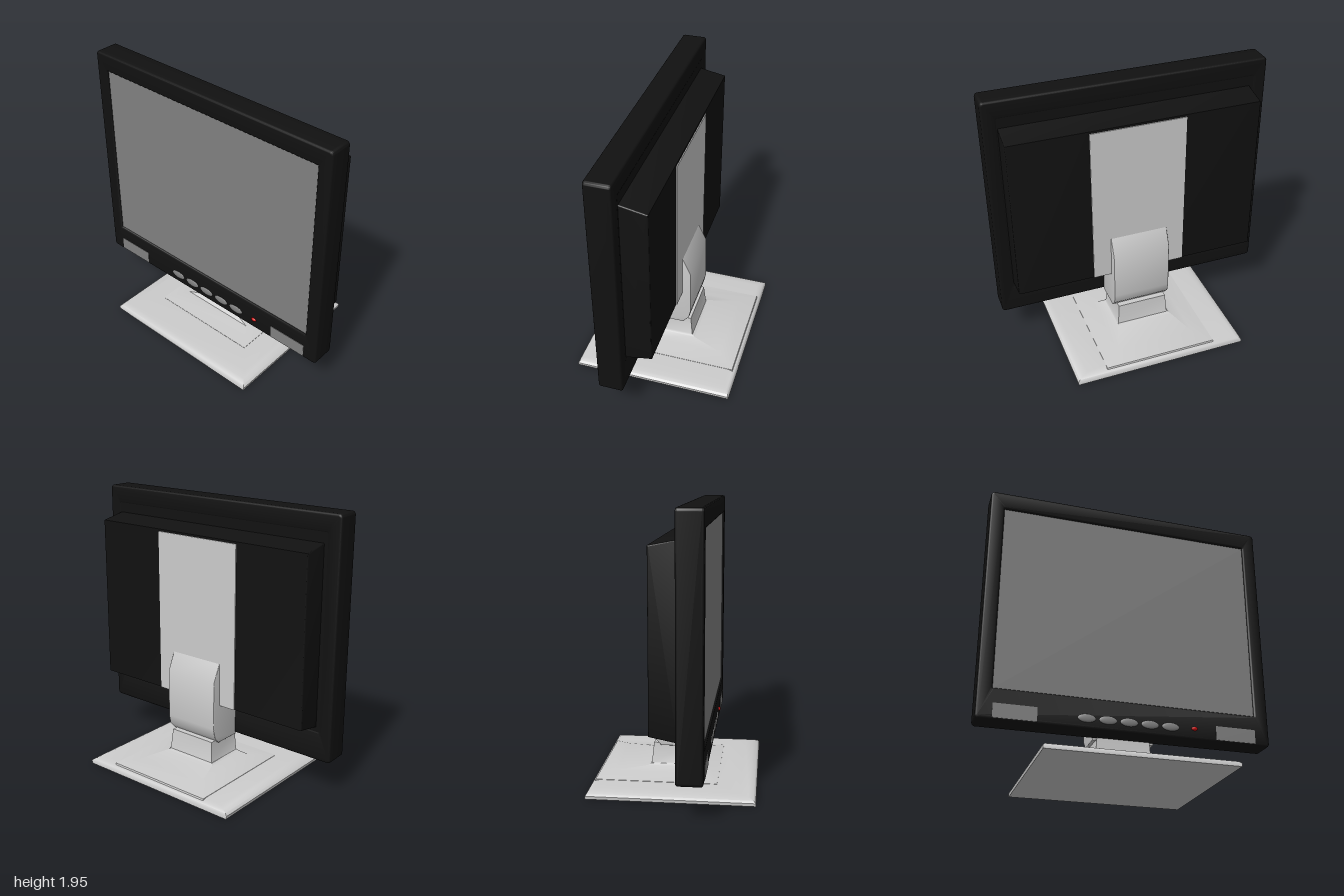
import * as THREE from 'three';
import { toCreasedNormals } from 'three/addons/utils/BufferGeometryUtils.js';

const mat = (color) => new THREE.MeshStandardMaterial({ color });
const black = mat(0x111111), silver = mat(0xcccccc), grey = mat(0x808080), red = mat(0xcc1111);

function add(group, name, geometry, material, x = 0, y = 0, z = 0) {
  const mesh = new THREE.Mesh(geometry, material);
  mesh.name = name;
  mesh.position.set(x, y, z);
  group.add(mesh);
  return mesh;
}

// Rectangle outline with rounded corners
function roundedRect(x0, y0, x1, y1, r) {
  const s = new THREE.Shape();
  s.absarc(x1 - r, y1 - r, r, 0, Math.PI / 2);
  s.absarc(x0 + r, y1 - r, r, Math.PI / 2, Math.PI);
  s.absarc(x0 + r, y0 + r, r, Math.PI, Math.PI * 1.5);
  s.absarc(x1 - r, y0 + r, r, Math.PI * 1.5, Math.PI * 2);
  return s;
}

// Extrude to a total depth, centred on its own z, keeping the outline as the outer size
function extrude(shape, depth, bevel) {
  const g = new THREE.ExtrudeGeometry(shape, {
    depth: depth - 2 * bevel, bevelThickness: bevel, bevelSize: bevel,
    bevelOffset: -bevel, bevelSegments: 3, curveSegments: 5,
  });
  g.translate(0, 0, bevel - depth / 2);
  return toCreasedNormals(g, 0.6);
}

// Side profile of (z, y) points swept across the width
function sideProfile(points, width, bevel) {
  const shape = new THREE.Shape(points.map(([z, y]) => new THREE.Vector2(z, y)));
  return extrude(shape, width, bevel).rotateY(-Math.PI / 2);
}

// Stack of rectangular rings [y, halfWidth, zBack, zFront], capped at both ends
function loft(rings, crease) {
  const pos = [], idx = [];
  for (const [y, w, zb, zf] of rings) pos.push(-w, y, zf, w, y, zf, w, y, zb, -w, y, zb);
  for (let i = 0; i < rings.length - 1; i++) {
    for (let j = 0; j < 4; j++) {
      const a = i * 4 + j, b = i * 4 + (j + 1) % 4;
      idx.push(a, b, b + 4, a, b + 4, a + 4);
    }
  }
  const t = (rings.length - 1) * 4;
  idx.push(0, 2, 1, 0, 3, 2, t, t + 1, t + 2, t, t + 2, t + 3);
  const g = new THREE.BufferGeometry();
  g.setAttribute('position', new THREE.Float32BufferAttribute(pos, 3));
  g.setIndex(idx);
  return toCreasedNormals(g, crease);
}

export function createModel() {
  const model = new THREE.Group();
  model.name = 'monitor';

  // Front frame with the screen set into it
  const frame = roundedRect(-1, 0.26, 1, 1.95, 0.025);
  frame.holes.push(roundedRect(-0.9, 0.475, 0.9, 1.82, 0.003));
  add(model, 'bezel', extrude(frame, 0.173, 0.015), black, 0, 0, 0.1665);
  add(model, 'bezelBacking', new THREE.BoxGeometry(1.82, 1.37, 0.14), black, 0, 1.1475, 0.152);
  add(model, 'screen', new THREE.BoxGeometry(1.805, 1.35, 0.02), grey, 0, 1.1475, 0.23);

  // Rear housing with sloping top and bottom
  const housing = [[0.09, 0.498], [0.09, 1.757], [-0.1, 1.72], [-0.1, 0.535]].reverse();
  add(model, 'rearHousing', sideProfile(housing, 1.78, 0.008), black, 0.01);
  add(model, 'rearStrip', new THREE.BoxGeometry(0.68, 1.17, 0.02), silver, 0.01, 1.12, -0.097);

  // Speaker plates, mirrored
  for (const side of [-1, 1]) {
    add(model, side > 0 ? 'leftSpeaker' : 'rightSpeaker',
      new THREE.BoxGeometry(0.285, 0.098, 0.02), grey, side * 0.752, 0.322, 0.246);
  }

  // Control buttons and power light
  for (let i = 0; i < 5; i++) {
    const button = add(model, 'button', new THREE.SphereGeometry(1, 24, 16), grey,
      -0.286 + i * 0.143, 0.332, 0.252);
    button.scale.set(0.06, 0.028, 0.01);
  }
  const light = add(model, 'powerLight', new THREE.SphereGeometry(1, 20, 12), red, 0.455, 0.336, 0.252);
  light.scale.set(0.022, 0.014, 0.014);

  // Bracket joining the neck to the back of the housing
  const bracket = [
    [0.085, 0.25], [0.085, 0.6], [0, 0.86], [-0.1, 0.86], [-0.165, 0.72],
    [-0.17, 0.37], [-0.155, 0.3], [-0.11, 0.25],
  ].reverse();
  add(model, 'bracket', sideProfile(bracket, 0.42, 0.004), silver, 0.01);

  // Neck, raised foot and base plate
  add(model, 'neck', loft([
    [0.09, 0.215, -0.195, 0.125], [0.105, 0.2, -0.183, 0.113],
    [0.12, 0.192, -0.178, 0.11], [0.262, 0.182, -0.163, 0.105],
  ], 0.5), silver, 0.005);
  add(model, 'raisedFoot', loft([
    [0.045, 0.412, -0.545, 0.3], [0.06, 0.41, -0.54, 0.3],
    [0.085, 0.29, -0.42, 0.14], [0.103, 0.21, -0.2, 0.12], [0.113, 0.195, -0.18, 0.112],
  ], 0.5), silver);
  add(model, 'basePlate', loft([
    [0, 0.63, -0.57, 0.57], [0.022, 0.633, -0.568, 0.568], [0.036, 0.618, -0.56, 0.555],
    [0.048, 0.59, -0.545, 0.52], [0.055, 0.55, -0.52, 0.46], [0.058, 0.4, -0.5, 0.3],
  ], 0.8), silver, 0.003);

  return model;
}
